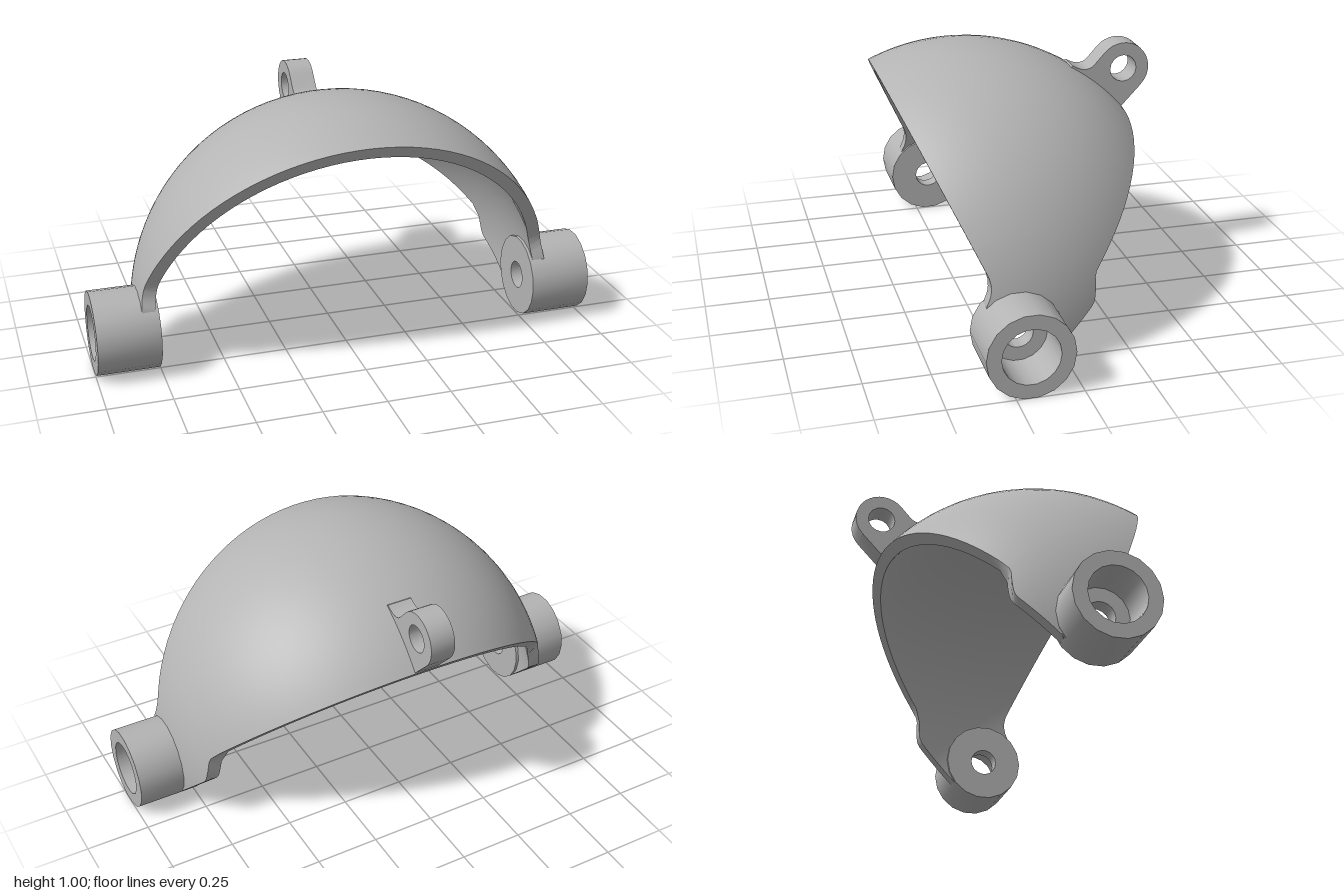
import * as THREE from 'three';
import { toCreasedNormals } from 'three/addons/utils/BufferGeometryUtils.js';

// pivot axis (parallel to x) and shell radii
const CY = 0.163, CZ = 0.195, R_OUT = 0.836, R_IN = 0.786;
const DEG = Math.PI / 180;

// piecewise linear lookup through [r, degrees] pairs
function lookup(table, r) {
  if (r <= table[0][0]) return table[0][1];
  for (let i = 1; i < table.length; i++) {
    const [r0, a0] = table[i - 1], [r1, a1] = table[i];
    if (r <= r1) return a0 + (a1 - a0) * (r - r0) / (r1 - r0);
  }
  return table[table.length - 1][1];
}

// front edge of the shell: radial, flaring into the boss
const frontAngle = r => lookup([[0.13, -62], [0.164, -44.5], [0.178, -35], [0.193, -30], [0.215, -26.3], [0.24, -24.7]], r);

// back edge: upper straight cut, small step, lower cut tangent to the boss
function backAngle(r) {
  if (r > 0.36) return 42.5 + Math.asin(0.106 / r) / DEG;
  if (r < 0.29) return 45.9 + Math.asin(Math.min(1, 0.161 / r)) / DEG;
  return lookup([[0.29, 79.6], [0.306, 76.4], [0.312, 73.8], [0.341, 62.6], [0.36, 59.6]], r);
}

// spherical shell lofted from closed cross-sections between the two bosses
function shellGeometry() {
  const half = [];
  for (let i = 0; i < 32; i++) half.push(0.156 + 0.284 * i / 32);
  for (let i = 0; i < 18; i++) half.push(0.44 + (Math.PI / 2 - 0.44) * i / 18);
  const thetas = [...half, Math.PI / 2, ...half.map(t => Math.PI - t).reverse()];
  const cols = 32, pos = [], index = [];
  const put = (R, theta, t) => {
    const r = R * Math.sin(theta);
    const a = THREE.MathUtils.lerp(frontAngle(r), backAngle(r), t) * DEG;
    pos.push(R * Math.cos(theta), CY + r * Math.cos(a), CZ - r * Math.sin(a));
  };
  for (const theta of thetas) {
    for (let j = 0; j <= cols; j++) put(R_OUT, theta, j / cols);
    for (let j = cols; j >= 0; j--) put(R_IN, theta, j / cols);
  }
  const n = 2 * (cols + 1);
  for (let i = 0; i < thetas.length - 1; i++) {
    for (let j = 0; j < n; j++) {
      const k = (j + 1) % n;
      const a = i * n + j, b = i * n + k, c = b + n, d = a + n;
      index.push(a, b, c, a, c, d);
    }
  }
  const g = new THREE.BufferGeometry();
  g.setAttribute('position', new THREE.Float32BufferAttribute(pos, 3));
  g.setIndex(index);
  return toCreasedNormals(g, 0.6);
}

// pivot boss with through hole and outer counterbore
function bossGeometry() {
  const profile = [[0.055, 0.757], [0.163, 0.757], [0.163, 1], [0.108, 1], [0.108, 0.82], [0.055, 0.82], [0.055, 0.757]];
  const g = new THREE.LatheGeometry(profile.map(p => new THREE.Vector2(...p)), 18);
  g.rotateZ(-Math.PI / 2);
  return toCreasedNormals(g, 0.6);
}

// pierced lug on the back of the shell, drawn with x meaning -z
function lugGeometry() {
  const s = new THREE.Shape();
  s.moveTo(0.412, 0.684);
  s.lineTo(0.44, 0.705);
  s.lineTo(0.52, 0.79);
  s.absarc(0.443, 0.862, 0.105, -42 * DEG, 140 * DEG, false);
  s.lineTo(0.322, 0.884);
  s.quadraticCurveTo(0.29, 0.853, 0.235, 0.887);
  s.lineTo(0.215, 0.878);
  s.closePath();
  const hole = new THREE.Path();
  hole.absarc(0.443, 0.862, 0.054, 0, Math.PI * 2, true);
  s.holes.push(hole);
  const g = new THREE.ExtrudeGeometry(s, { depth: 0.1, bevelEnabled: false, curveSegments: 8 });
  g.translate(0, 0, -0.05);
  g.rotateY(Math.PI / 2);
  return toCreasedNormals(g, 0.6);
}

export function createModel() {
  const model = new THREE.Group();
  model.name = 'pivotingVisorShell';
  const grey = new THREE.MeshStandardMaterial({ color: 0xb4b4b4 });
  grey.name = 'grey';

  const add = (name, geometry) => {
    const mesh = new THREE.Mesh(geometry, grey);
    mesh.name = name;
    model.add(mesh);
    return mesh;
  };

  add('shell', shellGeometry());
  add('rearLug', lugGeometry());

  // mirrored pair of pivots
  const boss = bossGeometry();
  add('leftBoss', boss).position.set(0, CY, CZ);
  const right = add('rightBoss', boss);
  right.position.set(0, CY, CZ);
  right.rotation.y = Math.PI;

  return model;
}
